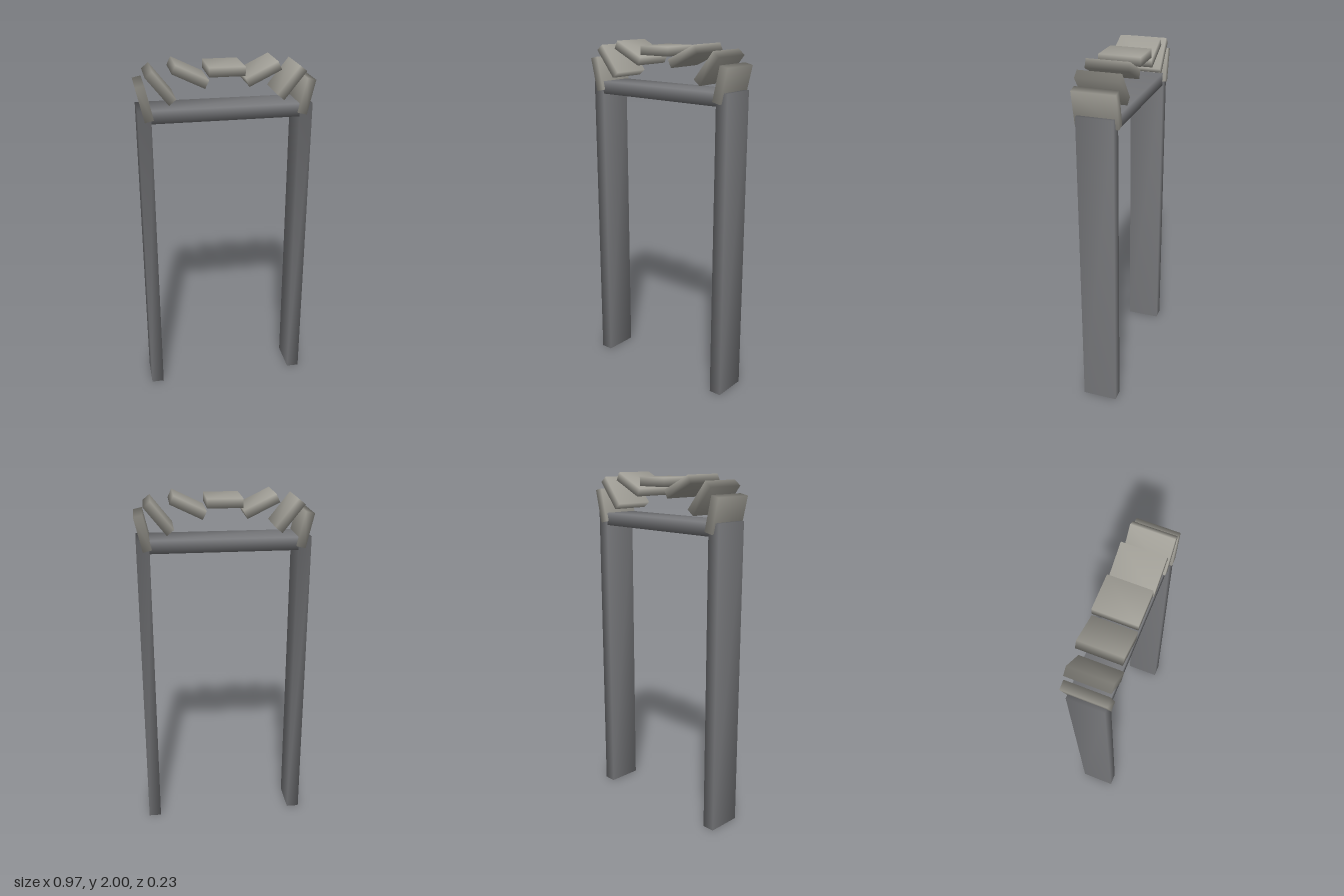
import * as THREE from 'three';
import { mergeVertices } from 'three/addons/utils/BufferGeometryUtils.js';

// Box whose corners are shared, so the shading rolls smoothly over its edges
function softBox(w, h, d) {
  const geo = new THREE.BoxGeometry(w, h, d);
  geo.deleteAttribute('normal');
  geo.deleteAttribute('uv');
  const soft = mergeVertices(geo);
  soft.computeVertexNormals();
  return soft;
}

export function createModel() {
  const model = new THREE.Group();
  model.name = 'doorArch';
  const frameMaterial = new THREE.MeshStandardMaterial({ color: 0x77787b });
  const stoneMaterial = new THREE.MeshStandardMaterial({ color: 0xa19f97 });

  const add = (name, geometry, material, x, y, tilt = 0) => {
    const mesh = new THREE.Mesh(geometry, material);
    mesh.name = name;
    mesh.position.set(x, y, 0);
    mesh.rotation.z = tilt;
    model.add(mesh);
  };

  // Frame: two posts with a lintel between them
  const height = 1.762, thickness = 0.072, depth = 0.2, postX = 0.443;
  const post = softBox(thickness, height, depth);
  add('leftPost', post, frameMaterial, postX, height / 2);
  add('rightPost', post, frameMaterial, -postX, height / 2);
  const lintel = softBox(2 * postX - thickness, thickness, depth);
  add('lintel', lintel, frameMaterial, 0, height - thickness / 2);

  // Seven stones along a flattened arc, each tilted up towards its outer end
  const stone = softBox(0.194, 0.05, 0.234);
  for (let i = -3; i <= 3; i++) {
    const angle = (i * Math.PI) / 7;
    add(`archStone${i + 4}`, stone, stoneMaterial,
      0.452 * Math.sin(angle), 1.76 + 0.195 * Math.cos(angle), angle);
  }
  return model;
}
